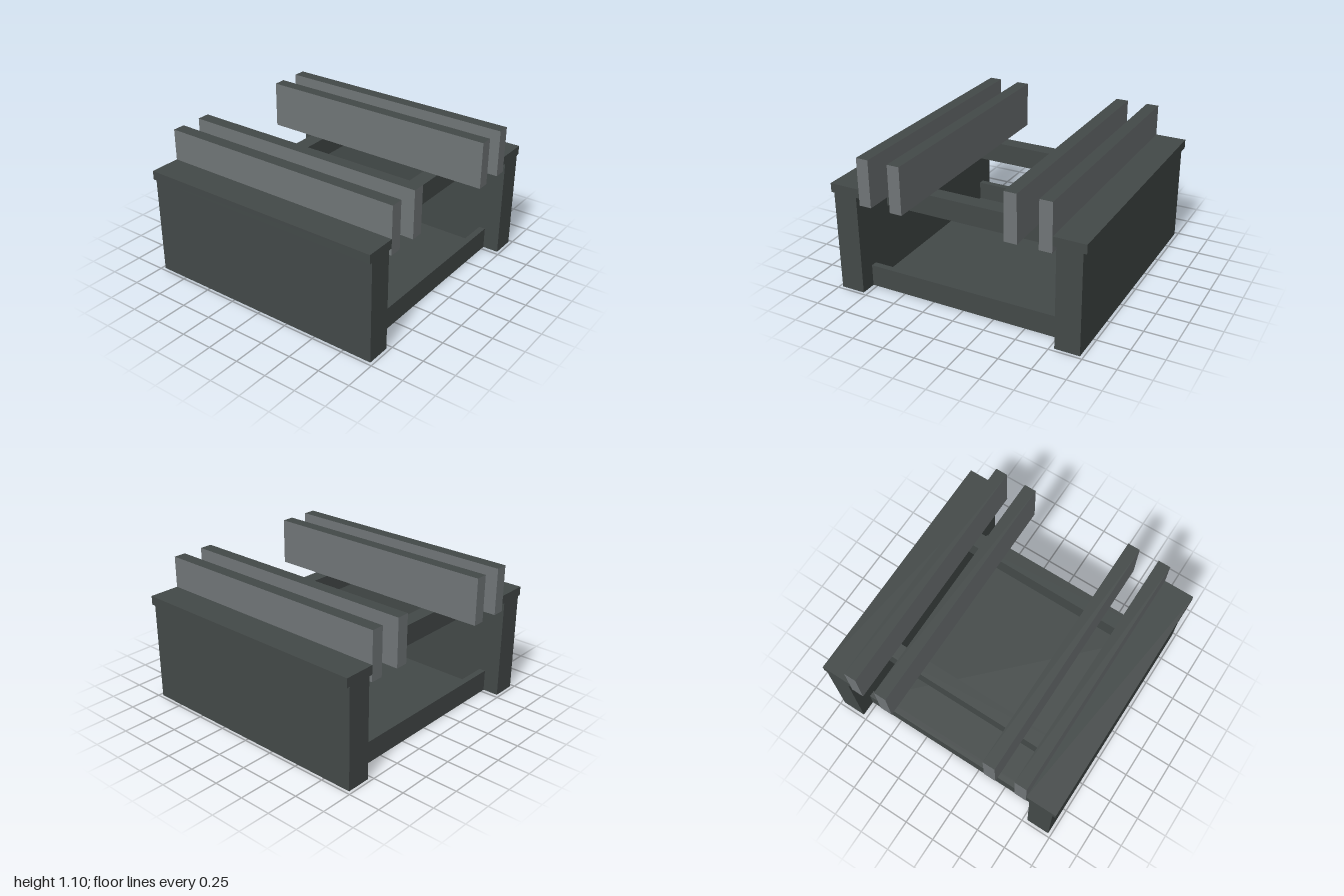
import * as THREE from 'three';

export function createModel() {
  const model = new THREE.Group();
  const dark = new THREE.MeshStandardMaterial({ color: 0x434948 });
  dark.name = 'dark slate';
  const grey = new THREE.MeshStandardMaterial({ color: 0x707577 });
  grey.name = 'mid grey';

  // Box given by its extents on each axis
  function box(name, [x0, x1], [y0, y1], [z0, z1], material = dark) {
    const geometry = new THREE.BoxGeometry(x1 - x0, y1 - y0, z1 - z0);
    const mesh = new THREE.Mesh(geometry, material);
    mesh.position.set((x0 + x1) / 2, (y0 + y1) / 2, (z0 + z1) / 2);
    mesh.name = name;
    model.add(mesh);
  }
  const span = (a, b, side) => (side > 0 ? [a, b] : [-b, -a]);

  const length = [-0.975, 0.975];
  const inner = [-0.785, 0.785];
  // Grey rail with a dark top face
  const railMaterials = [grey, grey, dark, grey, grey, grey];

  box('floor', inner, [0, 0.02], [-0.8, 0.8]);

  for (const side of [1, -1]) {
    const label = side > 0 ? 'left' : 'right';
    const end = side > 0 ? 'front' : 'back';

    // Side wall with its overhanging cap
    box(label + 'Wall', span(0.785, 0.975, side), [0, 0.785], length);
    box(label + 'Cap', span(0.757, 1, side), [0.785, 0.855], length);

    // Pair of upright rails
    box(label + 'OuterRail', span(0.66, 0.757, side), [0.73, 1.1], length, railMaterials);
    box(label + 'InnerRail', span(0.403, 0.5, side), [0.73, 1.1], length, railMaterials);

    // Low sill and raised cross beam
    box(end + 'Sill', inner, [0, 0.17], span(0.8, 0.85, side));
    box(end + 'CrossBeam', inner, [0.565, 0.73], span(0.487, 0.607, side));
  }
  return model;
}
